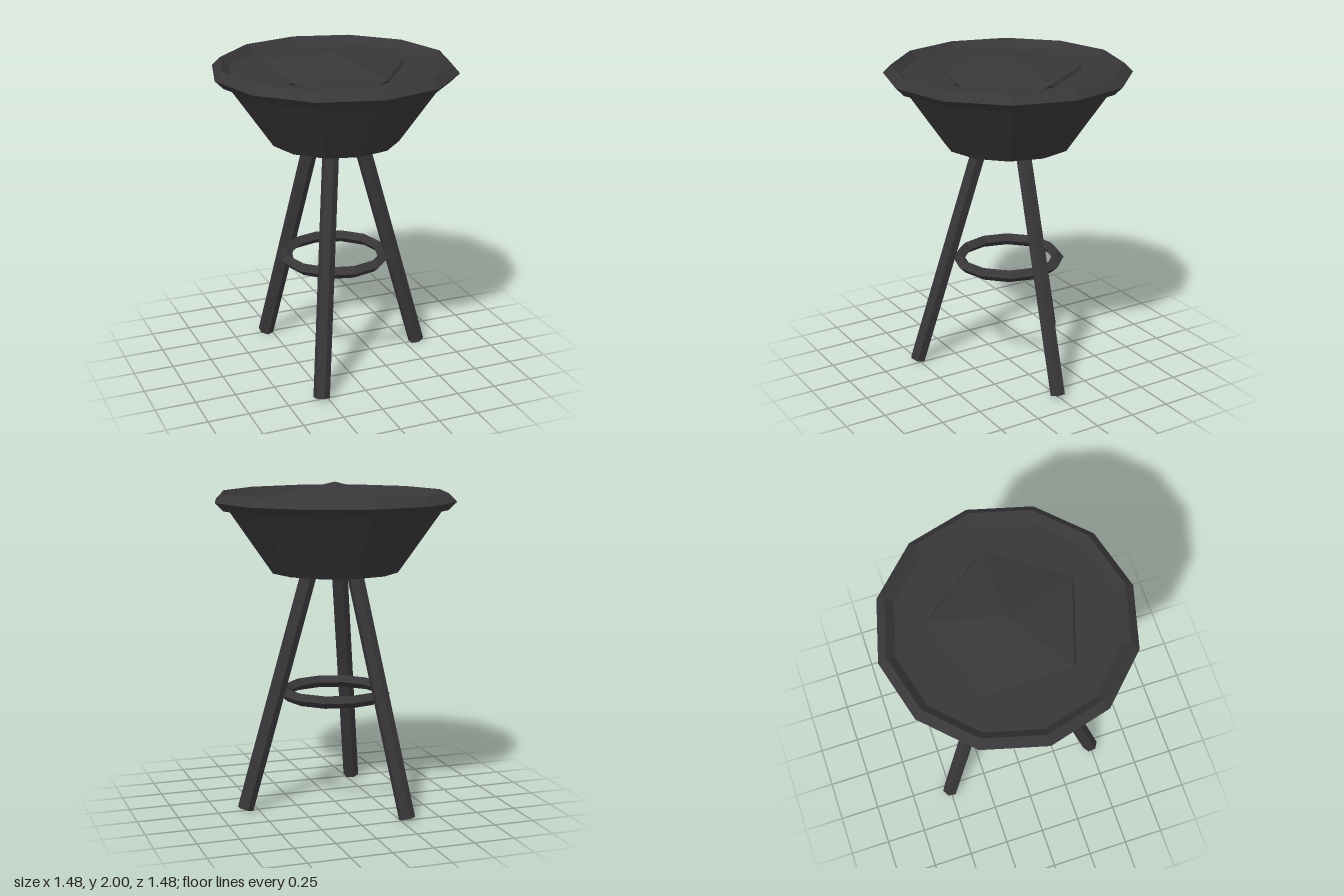
import * as THREE from 'three';

const material = new THREE.MeshStandardMaterial({ color: 0x383639, flatShading: true });

function part(name, geometry, x = 0, y = 0, z = 0) {
  const mesh = new THREE.Mesh(geometry, material);
  mesh.name = name;
  mesh.position.set(x, y, z);
  return mesh;
}

// Twelve-sided horizontal ring with a diamond section
function ring(name, radius, tube, y) {
  return part(name, new THREE.TorusGeometry(radius, tube, 4, 12).rotateX(Math.PI / 2), 0, y);
}

export function createModel() {
  const model = new THREE.Group();

  // Tapered bowl, filled to the middle of its rim
  const bottom = 1.46, top = 1.89;
  model.add(part('bowl', new THREE.CylinderGeometry(0.69, 0.39, top - bottom, 12), 0, (top + bottom) / 2));
  model.add(ring('rim', 0.69, 0.05, top));

  // Mound: flattened icosahedron standing on a corner, half sunk in the bowl
  const mound = new THREE.IcosahedronGeometry(0.503, 0);
  mound.rotateZ(Math.atan(2 / (1 + Math.sqrt(5)))).rotateY(Math.PI).scale(1, 0.33, 1);
  model.add(part('mound', mound, 0, 2 - 0.503 * 0.33));

  // Three splayed six-sided legs
  const foot = new THREE.Vector2(0.578, 0.012);
  const head = new THREE.Vector2(0.135, 1.55);
  const length = foot.distanceTo(head);
  const tilt = Math.atan2(foot.x - head.x, head.y - foot.y);
  for (let i = 0; i < 3; i++) {
    const leg = new THREE.Group();
    leg.name = 'leg' + (i + 1);
    const post = part('legPost', new THREE.CylinderGeometry(0.05, 0.05, length, 6),
      (foot.x + head.x) / 2, (foot.y + head.y) / 2);
    post.rotation.z = tilt;
    leg.add(post);
    leg.rotation.y = i * Math.PI * 2 / 3;
    model.add(leg);
  }

  // Brace joining the legs
  model.add(ring('legBrace', 0.307, 0.038, 0.708));

  return model;
}
